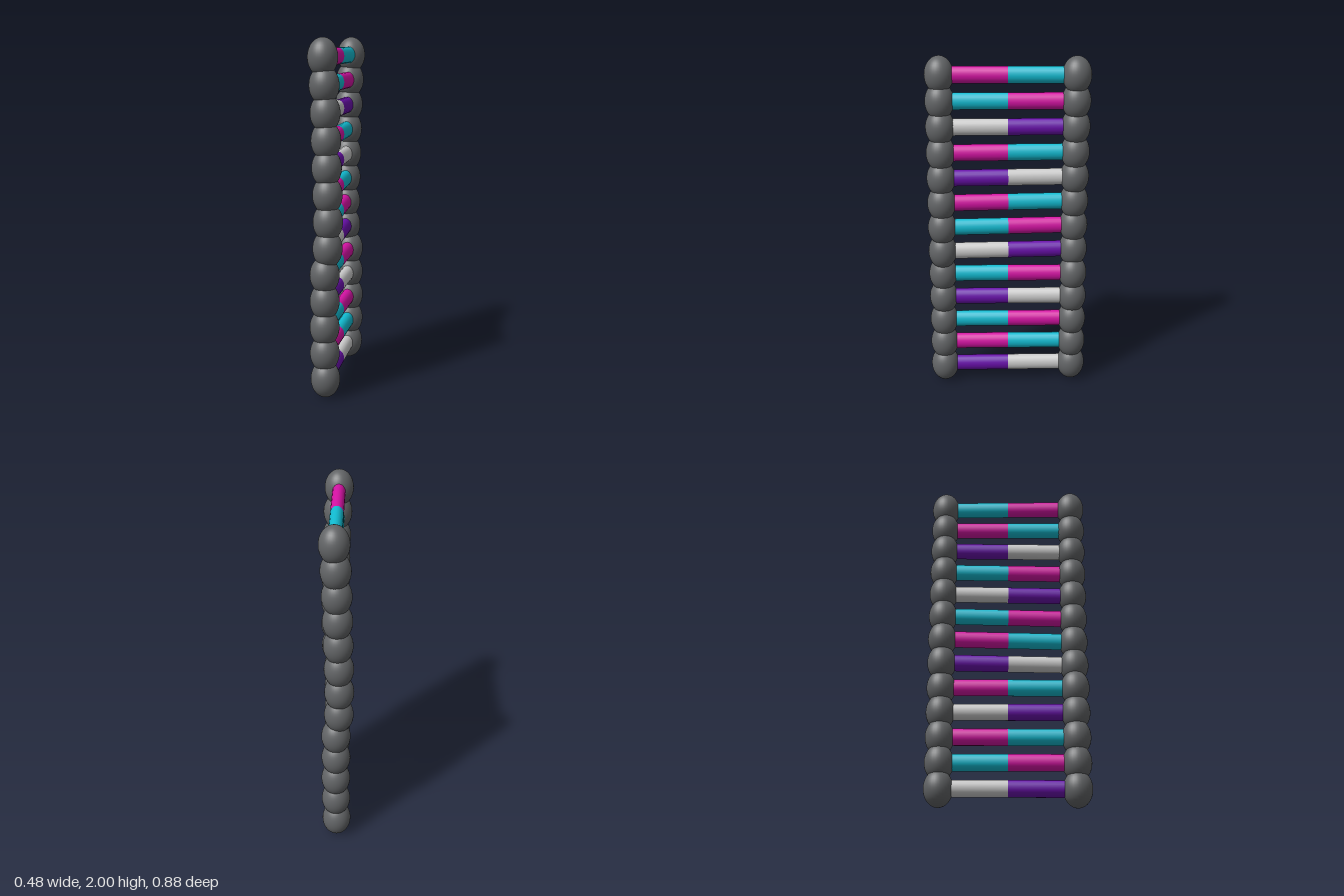
import * as THREE from 'three';

const REACH = 0.383;     // rung centre to bead centre
const BEAD = 0.083;      // bead radius
const ROD = 0.038;       // rung radius
const STRETCH = 1.28;    // whole model is stretched vertically

const paint = (color) => new THREE.MeshStandardMaterial({ color });
const rodPaint = {
  M: paint(0xd613a5), C: paint(0x12bcd2), P: paint(0x6a10ac), G: paint(0xcccccc),
};
const beadPaint = paint(0x626466);

// Front and back colour of each rung, bottom to top
const PAIRS = ['PG', 'MC', 'CM', 'PG', 'CM', 'GP', 'CM', 'MC', 'PG', 'MC', 'GP', 'CM', 'MC'];
// Sideways offset of each rung's ends, giving its slight twist
const OFFSETS = [0.146, 0.149, 0.15, 0.149, 0.149, 0.134, 0.132, 0.134, 0.138, 0.141, 0.145, 0.15, 0.157];

export function createModel() {
  const model = new THREE.Group();
  model.name = 'twistedLadder';

  const beadGeometry = new THREE.SphereGeometry(BEAD, 32, 20);
  const rodGeometry = new THREE.CylinderGeometry(ROD, ROD, REACH, 20)
    .rotateX(Math.PI / 2)
    .translate(0, 0, REACH / 2);

  const beadHeight = BEAD * STRETCH;
  const step = (2 - 2 * beadHeight) / (PAIRS.length - 1);

  PAIRS.forEach((pair, i) => {
    const rung = new THREE.Group();
    rung.name = `rung${i + 1}`;
    rung.position.y = beadHeight + i * step;
    rung.scale.y = STRETCH;
    rung.rotation.y = -Math.asin(OFFSETS[i] / REACH);

    // Two coloured halves, each ending in a bead
    ['front', 'back'].forEach((end, k) => {
      const half = new THREE.Group();
      half.name = `${end}Half`;
      half.rotation.y = k * Math.PI;

      const rod = new THREE.Mesh(rodGeometry, rodPaint[pair[k]]);
      rod.name = `${end}Rod`;
      const bead = new THREE.Mesh(beadGeometry, beadPaint);
      bead.name = `${end}Bead`;
      bead.position.z = REACH;

      half.add(rod, bead);
      rung.add(half);
    });
    model.add(rung);
  });
  return model;
}
